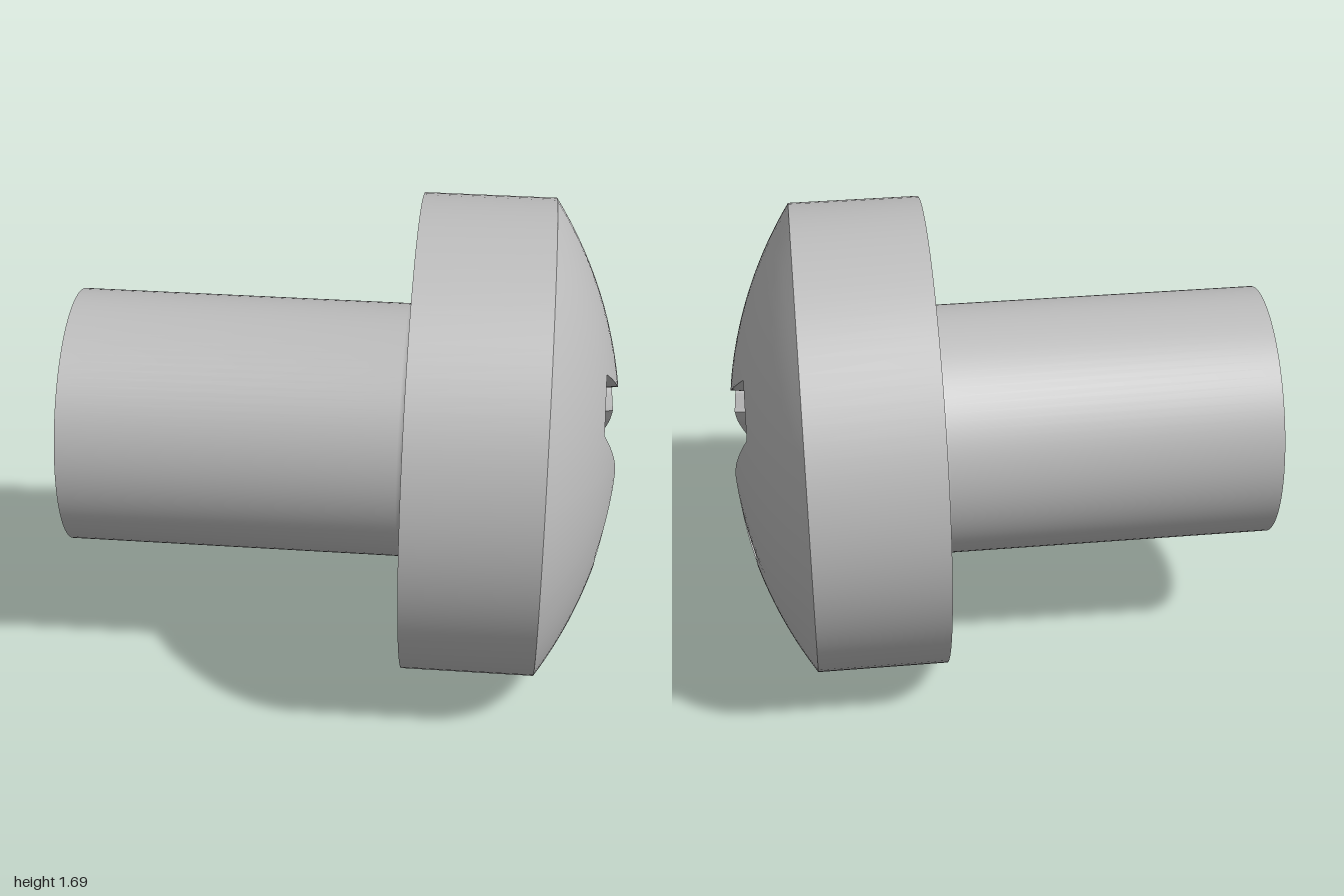
import * as THREE from 'three';
import { toCreasedNormals } from 'three/addons/utils/BufferGeometryUtils.js';

const HEAD_R = 0.843, DOME_H = 0.26, HEAD_T = 0.462, SHANK_R = 0.45, SHANK_END = -1.665;
const DOME_R = (HEAD_R * HEAD_R + DOME_H * DOME_H) / (2 * DOME_H);

// Height of the domed top at distance r from the axis
const domeY = (r) => DOME_H - DOME_R + Math.sqrt(DOME_R * DOME_R - r * r);

// Four-armed outline: notch point, shoulder and arm corner, mirrored about 45 degrees
function crossOutline(notch, shoulder, corner) {
  const flip = ([x, z]) => [z, x];
  const keys = [[notch, 0], shoulder, corner, flip(corner), flip(shoulder), [0, notch]];
  const steps = [4, 5, 8, 5, 4];
  const tipR = Math.hypot(...corner);
  const pts = [];
  for (let q = 0; q < 4; q++) {
    const c = Math.round(Math.cos(q * Math.PI / 2)), s = Math.round(Math.sin(q * Math.PI / 2));
    steps.forEach((n, e) => {
      for (let i = 0; i < n; i++) {
        let x = THREE.MathUtils.lerp(keys[e][0], keys[e + 1][0], i / n);
        let z = THREE.MathUtils.lerp(keys[e][1], keys[e + 1][1], i / n);
        if (e === 2) { // rounded arm tip
          const k = tipR / Math.hypot(x, z);
          x *= k; z *= k;
        }
        pts.push([x * c - z * s, x * s + z * c]);
      }
    });
  }
  return pts;
}

// Skin over closed rings of [x, y, z] points
function loft(rings, crease) {
  const n = rings[0].length, index = [];
  for (let r = 0; r < rings.length - 1; r++) {
    for (let j = 0; j < n; j++) {
      const k = (j + 1) % n;
      const a = r * n + j, b = a + n, c = r * n + k, d = c + n;
      index.push(a, b, c, c, b, d);
    }
  }
  const g = new THREE.BufferGeometry();
  g.setAttribute('position', new THREE.Float32BufferAttribute(rings.flat(2), 3));
  g.setIndex(index);
  return toCreasedNormals(g, crease);
}

function lathe(points) {
  const g = new THREE.LatheGeometry(points.map(([x, y]) => new THREE.Vector2(x, y)), 96);
  return toCreasedNormals(g, 0.6);
}

export function createModel() {
  const steel = new THREE.MeshStandardMaterial({ color: 0xbdbdbd });
  steel.name = 'steel grey';
  const screw = new THREE.Group();
  screw.name = 'screw';
  const add = (name, geometry) => {
    const mesh = new THREE.Mesh(geometry, steel);
    mesh.name = name;
    screw.add(mesh);
  };

  // Shank with a small fillet under the head
  const fillet = 0.035, shank = [[0, SHANK_END], [SHANK_R, SHANK_END]];
  for (let i = 0; i <= 6; i++) {
    const t = i / 6 * Math.PI / 2;
    shank.push([SHANK_R + fillet * (1 - Math.cos(t)), -HEAD_T - fillet * (1 - Math.sin(t))]);
  }
  add('shank', lathe(shank));

  // Flat underside and side of the head
  add('headRim', lathe([[SHANK_R, -HEAD_T], [HEAD_R, -HEAD_T], [HEAD_R, 0]]));

  // Domed top, from the rim in to the mouth of the recess
  const mouth = crossOutline(0.215, [0.25, 0.06], [0.386, 0.235]);
  const floor = crossOutline(0.14, [0.15, 0.035], [0.17, 0.085]);
  const dome = [];
  for (let i = 0; i <= 12; i++) {
    dome.push(mouth.map(([x, z]) => {
      const r = Math.hypot(x, z);
      const k = THREE.MathUtils.lerp(HEAD_R, r, i / 12) / r;
      return [x * k, domeY(r * k), z * k];
    }));
  }
  add('headDome', loft(dome, 0.5));

  // Tapered cross recess with a conical bottom
  const floorRing = floor.map(([x, z]) => [x, -0.29, z]);
  add('recessWalls', loft([dome[12], floorRing], 0.3));
  add('recessBottom', loft([floorRing, floor.map(() => [0, -0.42, 0])], 0.5));

  // Lay the screw on its side, turned slightly
  screw.rotation.set(0, THREE.MathUtils.degToRad(10), THREE.MathUtils.degToRad(-90.4), 'YXZ');
  screw.position.set(0.72, 0.846, -0.04);
  const model = new THREE.Group();
  model.name = 'crossHeadScrew';
  model.add(screw);
  return model;
}
